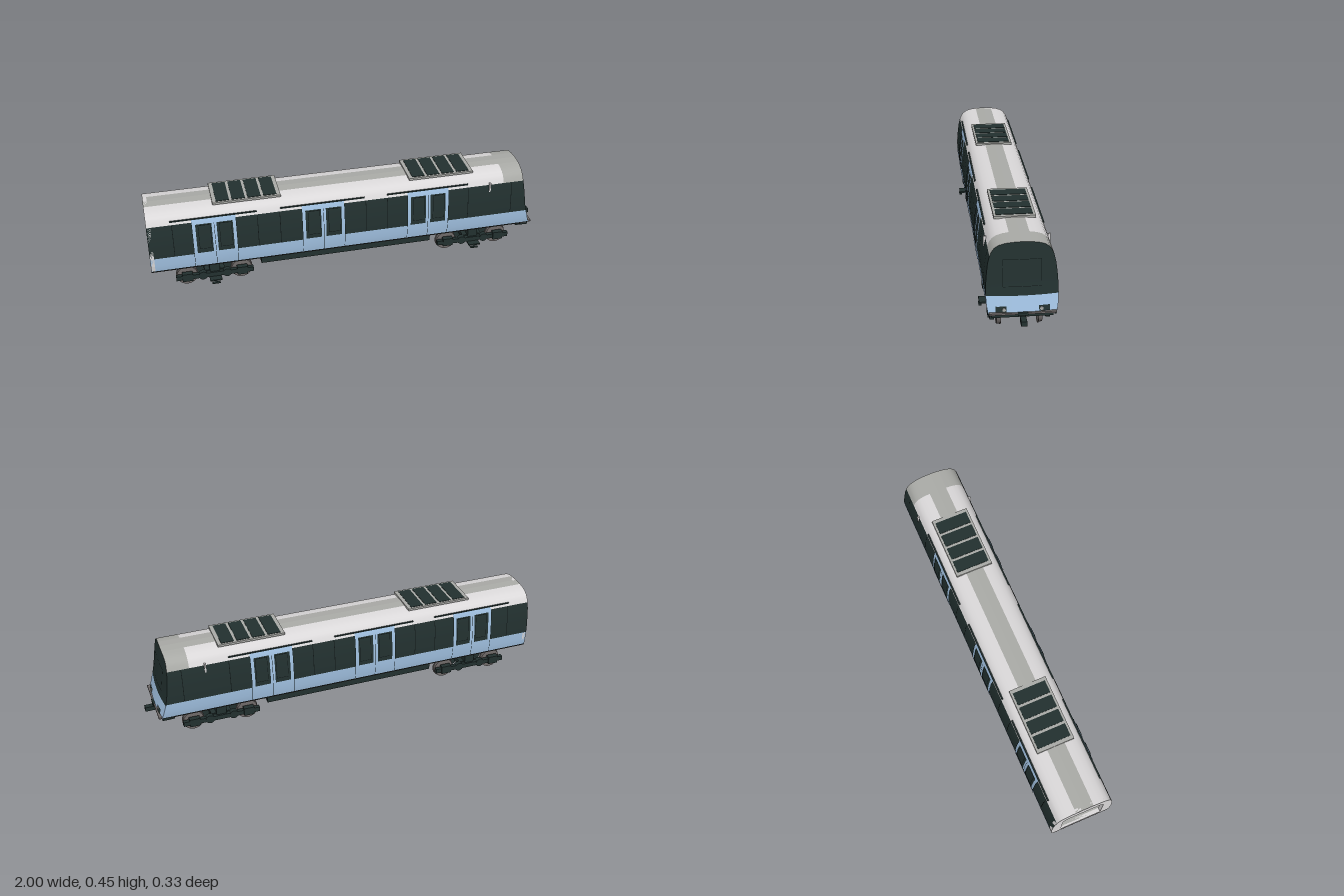
import * as THREE from 'three';

const mat = (name, color) => {
  const m = new THREE.MeshStandardMaterial({ color });
  m.name = name;
  return m;
};

// Half cross-section of the body: [height, half width]
const PROFILE = [[.118, .141], [.14, .15], [.17, .155], [.21, .1575], [.25, .157], [.30, .153], [.35, .147],
  [.385, .1385], [.405, .129], [.42, .118], [.432, .1], [.44, .075], [.4445, .045], [.447, 0]];
const lerpTable = (table, y) => {
  for (let i = 1; i < table.length; i++) {
    const [a, va] = table[i - 1], [b, vb] = table[i];
    if (y <= b || i === table.length - 1) return va + (vb - va) * Math.min(1, Math.max(0, (y - a) / (b - a)));
  }
};
const halfWidth = y => lerpTable(PROFILE, y);
// Slanted, slightly bowed cab front
const noseX = (y, z) => lerpTable([[.13, .943], [.23, .915], [.447, .885]], y) + .012 * (1 - (z / .158) ** 2);
const levels = (y0, y1) => [y0, ...PROFILE.map(p => p[0]).filter(y => y > y0 + .001 && y < y1 - .001), y1];

export function createModel() {
  const root = new THREE.Group();
  root.name = 'railCar';
  const car = new THREE.Group();
  car.name = 'car';
  car.position.z = -.005;
  root.add(car);

  const blue = mat('light blue paint', 0xa0c0e0), dark = mat('dark glass', 0x22302f);
  const white = mat('pale roof', 0xdad8d9), grey = mat('grey roof', 0xa9aaa6);
  const steel = mat('wheel steel', 0x6f6a69), under = mat('underside', 0x413d3d);
  const navy = mat('seat blue', 0x2a3a80), black = mat('black trim', 0x0d1414);

  const add = (name, geo, m, x = 0, y = 0, z = 0, parent = car) => {
    const mesh = new THREE.Mesh(geo, m);
    mesh.name = name;
    mesh.position.set(x, y, z);
    parent.add(mesh);
    return mesh;
  };
  // Box given by its limits on each axis
  const box = (name, m, x0, x1, y0, y1, z0, z1, parent = car) =>
    add(name, new THREE.BoxGeometry(x1 - x0, y1 - y0, z1 - z0), m, (x0 + x1) / 2, (y0 + y1) / 2, (z0 + z1) / 2, parent);
  const cyl = (name, m, r, len, x, y, z, parent = car) =>
    add(name, new THREE.CylinderGeometry(r, r, len, 28).rotateX(Math.PI / 2), m, x, y, z, parent);

  // Grid surface: rows at heights ys, n columns, point(u, y)
  const patch = (name, m, ys, n, point, flip) => {
    const pos = [], idx = [];
    for (const y of ys) for (let i = 0; i <= n; i++) pos.push(...point(i / n, y));
    for (let r = 0; r < ys.length - 1; r++) for (let i = 0; i < n; i++) {
      const a = r * (n + 1) + i, b = a + 1, c = a + n + 1, d = c + 1;
      idx.push(...(flip ? [a, d, b, a, c, d] : [a, b, d, a, d, c]));
    }
    const g = new THREE.BufferGeometry();
    g.setAttribute('position', new THREE.Float32BufferAttribute(pos, 3));
    g.setIndex(idx);
    g.computeVertexNormals();
    add(name, g, m);
  };
  // Body skin on side s; x1 = null runs to the cab front
  const skin = (name, m, s, x0, x1, y0, y1, off = 0) =>
    patch(name, m, levels(y0, y1), 1, (u, y) => {
      const h = halfWidth(y);
      const end = x1 === null ? noseX(y, h) : x1;
      return [x0 + (end - x0) * u, y, s * (h + off)];
    }, s < 0);
  // Cab front skin, whole width or between z limits
  const nose = (name, m, y0, y1, z0 = null, z1 = null, off = 0) =>
    patch(name, m, levels(y0, y1), 12, (u, y) => {
      const h = halfWidth(y);
      const a = z0 === null ? -h : z0, b = z1 === null ? h : z1;
      const z = b + (a - b) * u;
      return [noseX(y, z) + off, y, z];
    });

  for (const s of [1, -1]) {
    // Body sides and roof
    skin('lowerSide', blue, s, -1, null, .135, .215);
    skin('windowBand', dark, s, -1, null, .215, .385);
    skin('roofShoulder', white, s, -1, .79, .385, .4445);
    skin('cabRoof', grey, s, .79, null, .385, .4445);
    skin('roofCentre', grey, s, -1, null, .4445, .447);
    skin('bottomTrim', black, s, -1, .94, .135, .14, .002);

    // Double doors
    for (const c of [-.68, -.145, .39]) {
      skin('doorFrame', blue, s, c - .106, c + .106, .142, .4, .002);
      for (const k of [-1, 1]) {
        const a = k < 0 ? c - .09 : c + .012, b = k < 0 ? c - .012 : c + .09;
        skin('doorLeaf', dark, s, a, b, .22, .374, .003);
        skin('doorWindowSeal', black, s, a + .012, b - .006, .242, .37, .004);
        skin('doorWindow', dark, s, a + .014, b - .008, .245, .367, .005);
        skin('doorEdge', black, s, c + k * .106 - .001, c + k * .106 + .001, .142, .385, .003);
      }
      skin('doorSeam', black, s, c - .001, c + .001, .142, .375, .004);
      const z = s * (halfWidth(.402) + .003);
      box('doorGutter', dark, c - .21, c + .21, .398, .403, z - .004, z + .004);
    }
    // Window joints
    for (const x of [-.88, -.47, -.36, .07, .18, .6, .83])
      skin('windowJoint', black, s, x - .0015, x + .0015, .217, .385, .002);
    const zl = s * .143;
    box('sideLamp', white, .711, .719, .35, .397, zl - .006, zl + .006);
    // Skirt corner under the cab
    box('cabSkirt', dark, .9, .94, .12, .14, s * .142 - .004, s * .142 + .004);
  }

  // Cab front
  nose('frontGlass', dark, .21, .447);
  nose('frontPanel', blue, .135, .21);
  for (const z of [-.084, .084]) nose('frontDoorSide', black, .25, .37, z - .001, z + .001, .002);
  for (const y of [.25, .37]) nose('frontDoorEdge', black, y - .001, y + .001, -.084, .084, .002);
  for (const s of [1, -1]) {
    nose('lampPanel', dark, .143, .167, s > 0 ? .07 : -.117, s > 0 ? .117 : -.07, .003);
    const lamp = add('headlamp', new THREE.CylinderGeometry(.008, .008, .008, 20), grey, noseX(.154, .081) + .002, .154, s * .081);
    lamp.rotation.z = -Math.PI / 2;
  }
  box('frontSill', steel, .9, .958, .133, .141, -.146, .146);
  box('frontBeam', dark, .88, .94, .112, .133, -.134, .134);
  box('couplerPocket', dark, .93, .962, .128, .142, -.022, .022);
  box('couplerBar', dark, .9, .98, .105, .115, -.007, .007);
  box('couplerHead', dark, .952, 1, .098, .12, -.013, .013);

  // Open rear end frame
  const outline = PROFILE.slice(1);
  const end = new THREE.Shape([...outline, ...outline.slice(0, -1).reverse().map(([y, h]) => [y, -h])]
    .map(([y, h]) => new THREE.Vector2(h, y)));
  const opening = [[-.105, .16], [-.105, .35], [-.085, .375], [.085, .375], [.105, .35], [.105, .16]];
  end.holes.push(new THREE.Path(opening.map(p => new THREE.Vector2(...p))));
  add('rearFrame', new THREE.ExtrudeGeometry(end, { depth: .02, bevelEnabled: false }).rotateY(Math.PI / 2), white, -1);

  // Interior
  box('floor', grey, -.99, .88, .14, .16, -.145, .145);
  box('ceiling', white, -.98, .8, .39, .395, -.125, .125);
  box('cabBulkhead', grey, .79, .8, .16, .39, -.135, .135);
  for (const s of [1, -1]) {
    box('innerWall', white, -.98, .8, .16, .39, s * .132 - .003, s * .132 + .003);
    box('seatBench', navy, -.95, .78, .19, .215, s * .107 - .022, s * .107 + .022);
    box('seatBack', navy, -.95, .78, .215, .3, s * .122 - .007, s * .122 + .007);
  }

  // Underframe
  box('underside', under, -1, .935, .129, .14, -.146, .146);
  box('equipmentBox', dark, -.46, .415, .088, .13, -.13, .13);
  box('equipmentTray', dark, -.02, .29, .074, .09, -.07, .07);

  // Roof ventilation units
  for (const c of [-.51, .47]) {
    box('ventBase', grey, c - .15, c + .15, .43, .446, -.08, .08);
    box('ventFrame', grey, c - .166, c + .166, .441, .452, -.095, .095);
    for (let i = 0; i < 4; i++) {
      const x = c + (i - 1.5) * .077;
      box('ventGrille', dark, x - .032, x + .032, .445, .454, -.084, .084);
    }
  }

  // Bogies
  for (const c of [-.693, .649]) {
    const bogie = new THREE.Group();
    bogie.name = 'bogie';
    bogie.position.x = c;
    car.add(bogie);
    box('bolster', dark, -.025, .025, .06, .115, -.125, .125, bogie);
    box('crossBeam', dark, -.05, .05, .055, .08, -.115, .115, bogie);
    for (const k of [-1, 1]) {
      const x = k * .136;
      cyl('axle', steel, .008, .22, x, .06, 0, bogie);
      cyl('motor', dark, .033, .102, k * .068, .06, 0, bogie);
      for (const s of [1, -1]) {
        cyl('wheelTread', steel, .051, .016, x, .055, s * .094, bogie);
        cyl('wheelFlange', steel, .055, .004, x, .055, s * .085, bogie);
        cyl('spring', dark, .022, .022, k * .06, .062, s * .124, bogie);
        box('axleBox', dark, x - .026, x + .026, .043, .085, s * .126 - .013, s * .126 + .013, bogie);
      }
    }
    for (const s of [1, -1])
      box('sideFrame', dark, -.192, .192, .05, .074, s * .124 - .01, s * .124 + .01, bogie);
    // Current collector on one side
    box('collectorBeam', dark, -.03, .03, .043, .05, .11, .166, bogie);
    box('collectorArm', dark, -.004, .004, .03, .045, .155, .16, bogie);
    box('collectorShoe', dark, -.02, .02, .028, .031, .154, .168, bogie);
  }
  return root;
}
